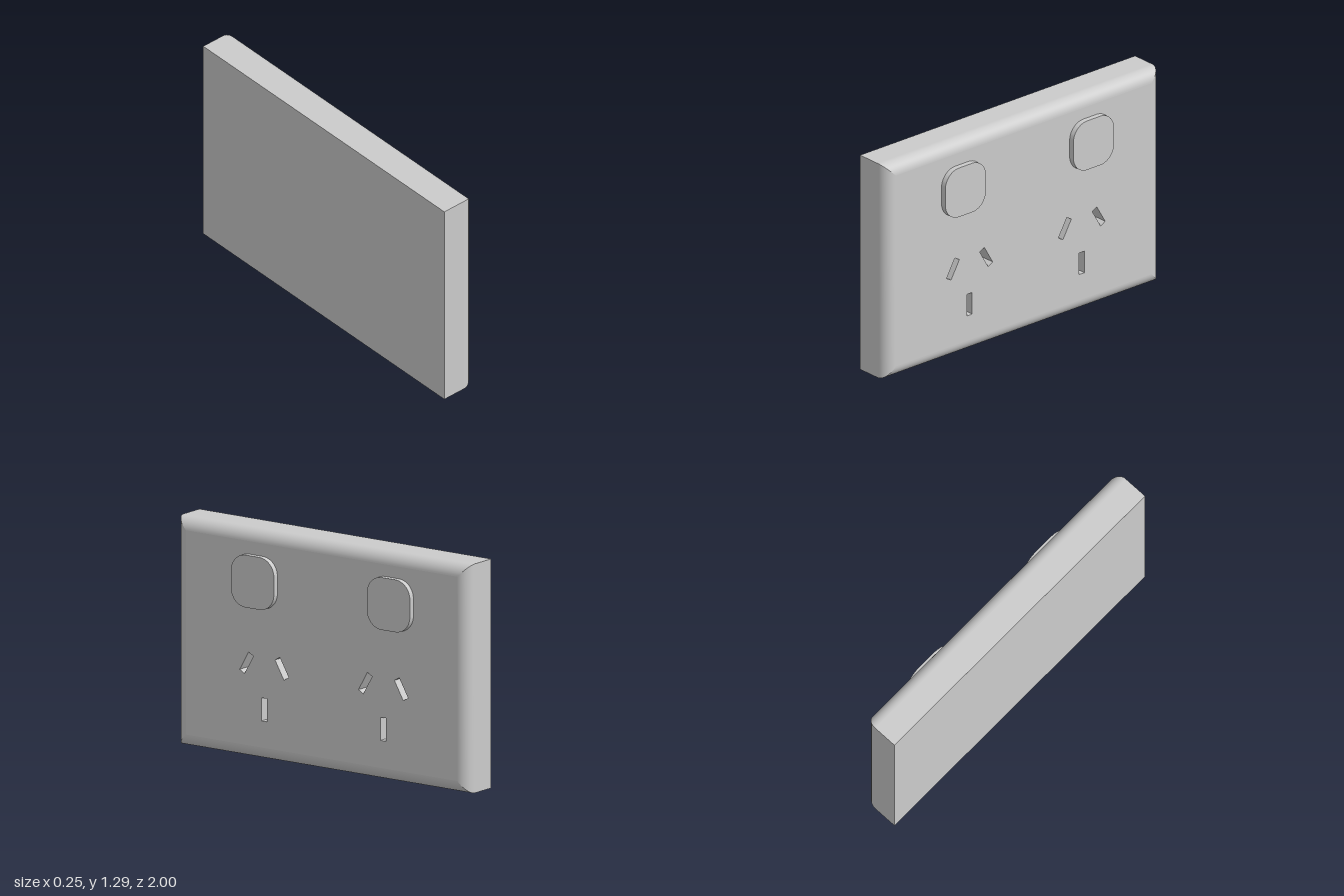
import * as THREE from 'three';
import { toCreasedNormals } from 'three/addons/utils/BufferGeometryUtils.js';

const W = 2, H = 1.29;               // plate width and height
const BACK = -0.125, FACE = 0.092;   // plate depth range
const R = 0.07;                      // rounded front edge
const BUTTON_FRONT = 0.124, SLOT_DEPTH = 0.1;

const material = new THREE.MeshStandardMaterial({ color: 0xcccccc });

function add(parent, name, geometry) {
  const mesh = new THREE.Mesh(geometry, material);
  mesh.name = name;
  parent.add(mesh);
  return mesh;
}

// Corners of the plate outline moved inwards, counter-clockwise
function corners(inset) {
  const x = W / 2 - inset;
  return [[-x, inset], [x, inset], [x, H - inset], [-x, H - inset]];
}

// One edge of the plate: straight side, then quarter round, mitred at both ends
function edgeGeometry(side) {
  const profile = [[0, BACK], [0, FACE - R - 0.002]];
  const steps = 14;
  for (let i = 0; i <= steps; i++) {
    const a = (i / steps) * Math.PI / 2;
    profile.push([R * (1 - Math.cos(a)), FACE - R + R * Math.sin(a)]);
  }
  const positions = [], index = [];
  profile.forEach(([inset, z], i) => {
    const c = corners(inset);
    positions.push(...c[side], z, ...c[(side + 1) % 4], z);
    if (i > 0) {
      const a = 2 * (i - 1);
      index.push(a, a + 1, a + 3, a, a + 3, a + 2);
    }
  });
  const g = new THREE.BufferGeometry();
  g.setAttribute('position', new THREE.Float32BufferAttribute(positions, 3));
  g.setIndex(index);
  g.computeVertexNormals();
  return g;
}

function slotCorners({ x, y, w, h, tilt }) {
  return [[-1, -1], [-1, 1], [1, 1], [1, -1]].map(([sx, sy]) =>
    new THREE.Vector2(sx * w / 2, sy * h / 2)
      .rotateAround(new THREE.Vector2(), tilt)
      .add(new THREE.Vector2(x, y)));
}

// Inside of a slot: a box turned inside out, without its front
function pocketGeometry({ x, y, w, h, tilt }) {
  const g = new THREE.BoxGeometry(w, h, SLOT_DEPTH);
  const faces = Array.from(g.index.array);
  faces.splice(24, 6);
  g.setIndex(faces.reverse());
  g.computeVertexNormals();
  g.rotateZ(tilt);
  g.translate(x, y, FACE - SLOT_DEPTH / 2);
  return g;
}

function buttonGeometry(size, r) {
  const s = size / 2, q = Math.PI / 2;
  const shape = new THREE.Shape();
  [[1, 1], [-1, 1], [-1, -1], [1, -1]].forEach(([sx, sy], i) =>
    shape.absarc(sx * (s - r), sy * (s - r), r, i * q, (i + 1) * q, false));
  const g = new THREE.ExtrudeGeometry(shape, {
    depth: BUTTON_FRONT - FACE, bevelEnabled: false, curveSegments: 10,
  });
  return toCreasedNormals(g, 0.6);
}

export function createModel() {
  const model = new THREE.Group();
  model.name = 'doublePowerOutlet';

  // Built facing +z, then turned so that the sockets face +x
  const outlet = new THREE.Group();
  outlet.name = 'outlet';
  outlet.rotation.y = Math.PI / 2;
  model.add(outlet);

  // Three pin slots for each socket
  const slots = [];
  for (const [x, y, spread] of [[-0.393, 0.285, 0.121], [0.423, 0.29, 0.123]]) {
    slots.push({ name: 'earthSlot', x, y, w: 0.038, h: 0.13, tilt: 0 });
    for (const s of [-1, 1]) {
      slots.push({ name: 'angledSlot', x: x + s * spread, y: 0.533, w: 0.038, h: 0.122, tilt: s * Math.PI / 6 });
    }
  }

  // Plate: front with slot openings, four rounded edges, flat back
  const plate = new THREE.Group();
  plate.name = 'plate';
  outlet.add(plate);
  const front = new THREE.Shape(corners(R).map(([x, y]) => new THREE.Vector2(x, y)));
  front.holes = slots.map((s) => new THREE.Path(slotCorners(s)));
  add(plate, 'plateFront', new THREE.ShapeGeometry(front)).position.z = FACE;
  for (let side = 0; side < 4; side++) add(plate, 'plateEdge', edgeGeometry(side));
  const back = add(plate, 'plateBack', new THREE.PlaneGeometry(W, H));
  back.position.set(0, H / 2, BACK);
  back.rotation.y = Math.PI;

  for (const slot of slots) add(outlet, slot.name, pocketGeometry(slot));

  // Rocker switches
  for (const [x, y] of [[-0.45, 1.0], [0.482, 1.005]]) {
    add(outlet, 'switchButton', buttonGeometry(0.295, 0.1)).position.set(x, y, FACE);
  }
  return model;
}
